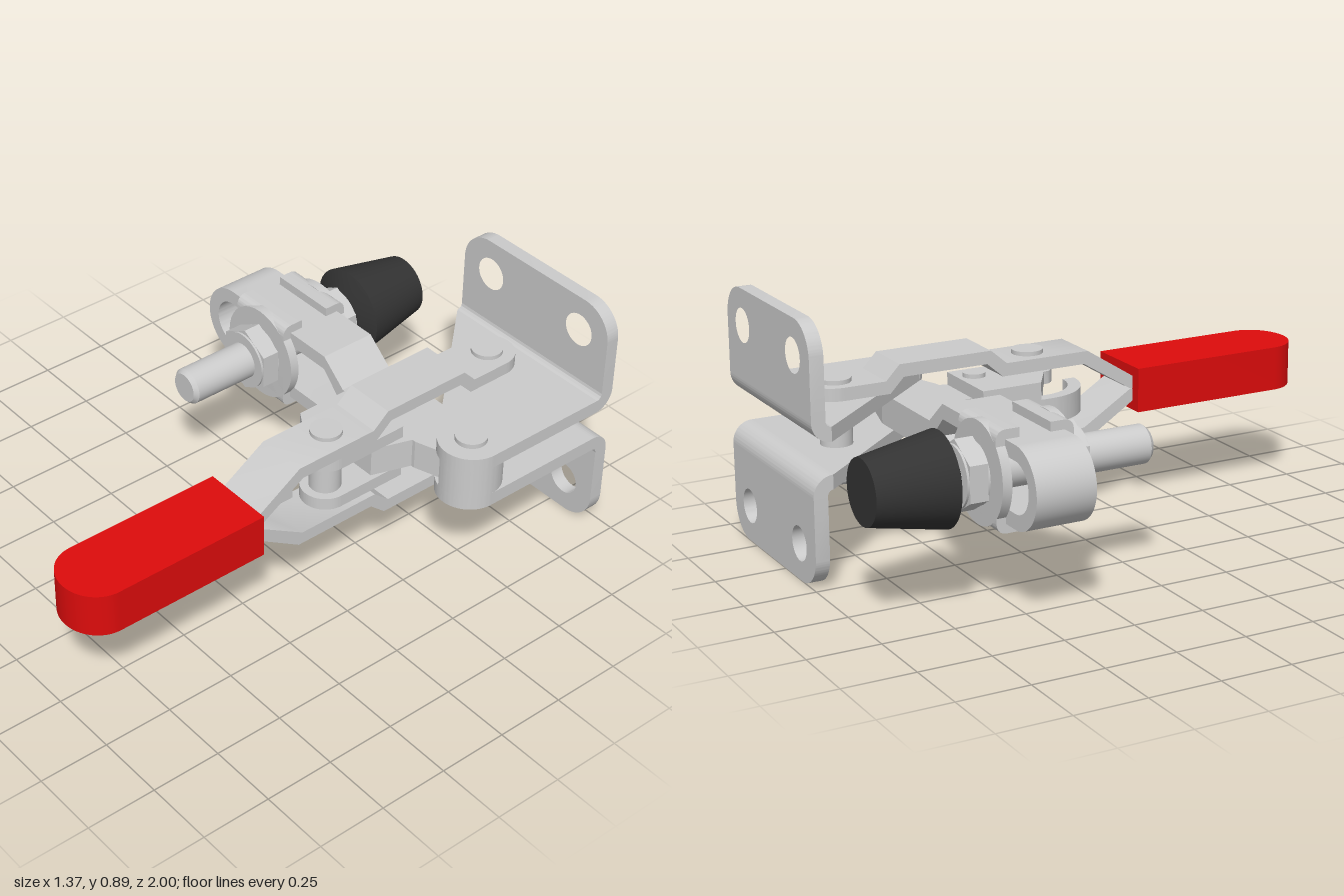
import * as THREE from 'three';
import { toCreasedNormals } from 'three/addons/utils/BufferGeometryUtils.js';

const YC = 0.445; // mirror plane between upper and lower halves
const flip = (y, s) => YC + s * (y - YC);

export function createModel() {
  const root = new THREE.Group();
  const steel = new THREE.MeshStandardMaterial({ color: 0xcccccc });
  const red = new THREE.MeshStandardMaterial({ color: 0xdd0c0c });
  const rubber = new THREE.MeshStandardMaterial({ color: 0x333333 });

  const add = (name, geo, mat = steel) => {
    const m = new THREE.Mesh(toCreasedNormals(geo, 0.6), mat);
    m.name = name;
    root.add(m);
    return m;
  };
  const poly = pts => new THREE.Shape(pts.map(p => new THREE.Vector2(p[0], p[1])));
  const extrude = (shape, depth) =>
    new THREE.ExtrudeGeometry(shape, { depth, bevelEnabled: false, curveSegments: 20 });
  // shape drawn in (x, z), between heights y0 and y1
  const slab = (shape, y0, y1) => extrude(shape, y1 - y0).rotateX(Math.PI / 2).translate(0, y1, 0);
  // shape drawn in (z, y), between x0 and x1
  const across = (shape, x0, x1) => extrude(shape, x1 - x0).rotateY(-Math.PI / 2).translate(x1, 0, 0);
  // shape drawn in (x, y), between z0 and z1
  const along = (shape, z0, z1) => extrude(shape, z1 - z0).translate(0, 0, z0);
  const rod = (r, y0, y1, x, z) =>
    new THREE.CylinderGeometry(r, r, y1 - y0, 32).translate(x, (y0 + y1) / 2, z);
  const circle = (x, y, r) => new THREE.Path().absarc(x, y, r, 0, Math.PI * 2, true);
  const lerpBand = (cx, cy, ro, ri, a0, a1) => {
    const s = new THREE.Shape();
    s.absarc(cx, cy, ro, a0, a1, false);
    s.absarc(cx, cy, ri, a1, a0, true);
    return s;
  };

  // Base: two mirrored angle brackets
  for (const s of [1, -1]) {
    const side = s > 0 ? 'upper' : 'lower';
    const X0 = -0.005, X1 = 0.685, R = 0.115, top = flip(0.89, s), bend = flip(0.57, s);
    const f = new THREE.Shape();
    f.moveTo(X0, bend);
    f.lineTo(X0, top - s * R);
    f.quadraticCurveTo(X0, top - s * 0.034, X0 + 0.034, top - s * 0.034);
    f.curves.pop();
    f.absarc(X0 + R, top - s * R, R, Math.PI, s * Math.PI / 2, s > 0);
    f.absarc(X1 - R, top - s * R, R, s * Math.PI / 2, 0, s > 0);
    f.lineTo(X1, bend);
    for (const x of [0.128, 0.553]) f.holes.push(circle(x, flip(0.763, s), 0.06));
    add(side + 'Flange', along(f, -1, -0.95));

    // rounded fold between flange and side plate
    const b = s > 0
      ? lerpBand(-0.93, bend, 0.07, 0.02, Math.PI, Math.PI * 1.5)
      : lerpBand(-0.93, bend, 0.07, 0.02, Math.PI / 2, Math.PI);
    add(side + 'Fold', across(b, X0, X1));

    // side plate narrowing to the pivot
    const p = new THREE.Shape();
    p.moveTo(X0, -0.93);
    p.lineTo(0.49, -0.382);
    p.absarc(0.57, -0.46, 0.113, 2.36, 0, true);
    p.lineTo(X1, -0.93);
    const y = [flip(0.5, s), flip(0.55, s)].sort((a, c) => a - c);
    add(side + 'SidePlate', slab(p, y[0], y[1]));
  }
  // Curved wall joining the plates around the pivot
  add('pivotWall', slab(lerpBand(0.57, -0.46, 0.113, 0.07, -0.65, 1.85), 0.36, 0.53));

  // Handle: two mirrored stepped bars
  const bar = [[-0.79, 0.605], [-0.64, 0.605], [-0.59, 0.657], [-0.25, 0.657], [-0.19, 0.605],
    [0.125, 0.605], [0.31, 0.487], [0.4, 0.48], [0.4, 0.446], [0.295, 0.446],
    [0.11, 0.56], [-0.205, 0.56], [-0.265, 0.612], [-0.575, 0.612], [-0.625, 0.56], [-0.79, 0.56]];
  for (const s of [1, -1]) {
    const side = s > 0 ? 'upper' : 'lower';
    add(side + 'HandleBar', across(poly(bar.map(([z, y]) => [z, flip(y, s)])), 0.205, 0.39));
    const end = new THREE.Shape().absarc(0.2975, -0.79, 0.0925, Math.PI, Math.PI * 2, false);
    const y = [flip(0.56, s), flip(0.605, s)].sort((a, c) => a - c);
    add(side + 'HandleBarEnd', slab(end, y[0], y[1]));
  }
  const g = new THREE.Shape();
  g.moveTo(0.165, 0.305);
  g.lineTo(0.165, 0.875);
  g.absellipse(0.2975, 0.875, 0.1325, 0.12, Math.PI, 0, true);
  g.lineTo(0.43, 0.305);
  add('grip', slab(g, 0.367, 0.525), red);

  // Rivets: flat head on top, domed head below
  const rivet = (name, x, z, r, yTop, yHead, headR, domeH) => {
    add(name, rod(r, yHead, yTop, x, z));
    const dome = new THREE.SphereGeometry(headR, 32, 10, 0, Math.PI * 2, Math.PI / 2, Math.PI / 2);
    add(name + 'Head', dome.scale(1, domeH / headR, 1).translate(x, yHead, z)).material =
      new THREE.MeshStandardMaterial({ color: 0xcccccc, side: THREE.DoubleSide });
  };
  rivet('rearRivet', 0.295, -0.785, 0.055, 0.62, 0.285, 0.085, 0.03);
  rivet('frontRivet', 0.295, -0.065, 0.055, 0.62, 0.285, 0.085, 0.03);
  rivet('pivotRivet', 0.57, -0.46, 0.055, 0.567, 0.34, 0.085, 0.032);
  add('linkPin', rod(0.04, 0.325, 0.565, 0.295, -0.27));
  add('stopPin', rod(0.05, 0.305, 0.39, 0.43, -0.6));

  // Link channel between handle and arm
  add('linkWeb', slab(poly([[0.11, -0.33], [0.155, -0.33], [0.155, -0.11], [0.11, -0.11]]), 0.36, 0.53));
  for (const y of [0.345, 0.505]) {
    const s = new THREE.Shape();
    s.moveTo(0.11, -0.33);
    s.lineTo(0.11, -0.11);
    s.lineTo(0.22, -0.04);
    s.absarc(0.295, -0.065, 0.085, 2.6, 0, true);
    s.lineTo(0.38, -0.33);
    add('linkFlange', slab(s, y, y + 0.045));
  }
  // Curved stop strap around the front rivet
  const strap = new THREE.Shape();
  strap.moveTo(0.11, -0.12);
  strap.lineTo(0.11, -0.065);
  strap.absarc(0.295, -0.065, 0.185, Math.PI, Math.PI / 2, true);
  strap.absarc(0.295, -0.065, 0.14, Math.PI / 2, Math.PI, false);
  strap.lineTo(0.155, -0.12);
  add('stopStrap', slab(strap, 0.4, 0.488));

  // Arm: looped bar whose legs close together
  const arm = new THREE.Shape();
  arm.moveTo(0.42, 0.5);
  arm.lineTo(0.05, 0.5);
  arm.lineTo(-0.05, 0.583);
  arm.absarc(-0.55, YC, 0.138, Math.PI / 2, Math.PI * 1.5, false);
  arm.lineTo(-0.05, 0.307);
  arm.lineTo(0.05, 0.39);
  arm.lineTo(0.42, 0.39);
  const slot = new THREE.Path();
  slot.moveTo(0.035, YC);
  slot.lineTo(-0.05, 0.531);
  slot.absarc(-0.55, YC, 0.086, Math.PI / 2, Math.PI * 1.5, false);
  slot.lineTo(-0.05, 0.359);
  slot.closePath();
  arm.holes.push(slot);
  add('arm', along(arm, -0.56, -0.35));
  add('armTip', slab(poly([[0.42, -0.56], [0.57, -0.52], [0.57, -0.4], [0.42, -0.35]]), 0.39, 0.5));
  add('armEye', rod(0.068, 0.39, 0.5, 0.57, -0.46));
  add('armEar', slab(poly([[0.2, -0.36], [0.23, -0.21], [0.36, -0.21], [0.41, -0.36]]), 0.39, 0.5));

  // Spindle with nuts and folded washers
  const SX = -0.358;
  const zRod = (r0, r1, z0, z1, n = 36) => // r0 at z0, r1 at z1
    new THREE.CylinderGeometry(r1, r0, z1 - z0, n).rotateX(Math.PI / 2).translate(SX, YC, (z0 + z1) / 2);
  add('spindle', zRod(0.066, 0.066, -0.7, 0.005));
  add('spindleTip', zRod(0.066, 0.053, 0.005, 0.02));
  for (const [a, b] of [[-0.32, -0.24], [-0.68, -0.6]]) {
    // hexagon turned so that corners point up and down
    const hex = poly([0, 1, 2, 3, 4, 5].map(i => {
      const t = Math.PI / 2 + i * Math.PI / 3;
      return [SX + 0.122 * Math.cos(t), YC + 0.122 * Math.sin(t)];
    }));
    add('nut', along(hex, a + 0.008, b - 0.008));
    add('nutChamfer', zRod(0.105, 0.105, a, b));
  }
  for (const d of [1, -1]) {
    const z = v => -0.455 + d * v;
    const range = (a, b) => [z(a), z(b)].sort((p, q) => p - q);
    add('washer', zRod(0.173, 0.173, ...range(0.105, 0.138)));
    for (const s of [1, -1]) {
      // tab folded over the arm
      const tab = new THREE.Shape();
      tab.moveTo(z(0.138), YC);
      tab.lineTo(z(0.138), flip(0.575, s));
      tab.quadraticCurveTo(z(0.138), flip(0.615, s), z(0.1), flip(0.615, s));
      tab.lineTo(z(0.055), flip(0.615, s));
      tab.lineTo(z(0.055), flip(0.583, s));
      tab.lineTo(z(0.105), flip(0.583, s));
      tab.lineTo(z(0.105), YC);
      add('washerTab', across(tab, -0.485, -0.23));
    }
  }

  // Rubber foot
  const foot = [[0, -0.99], [0.11, -0.99], [0.16, -0.725], [0.065, -0.68], [0, -0.68]]
    .map(p => new THREE.Vector2(...p));
  add('rubberFoot', new THREE.LatheGeometry(foot, 40).rotateX(Math.PI / 2).translate(SX, YC, 0), rubber);
  return root;
}
